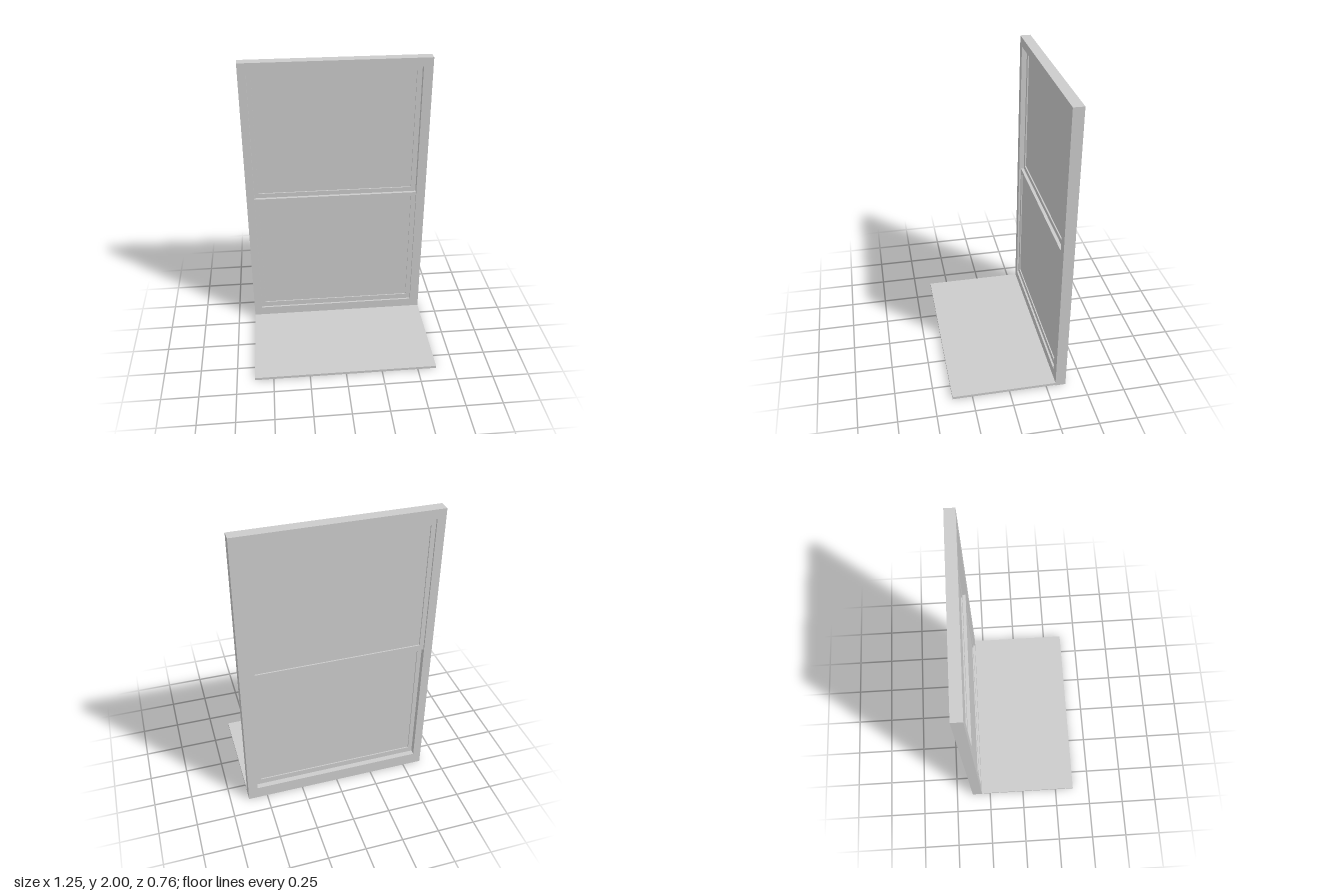
import * as THREE from 'three';

export function createModel() {
  const model = new THREE.Group();
  const grey = new THREE.MeshStandardMaterial({ color: 0xcccccc });
  grey.name = 'plain grey';

  function add(parent, name, geometry) {
    const mesh = new THREE.Mesh(geometry, grey);
    mesh.name = name;
    parent.add(mesh);
  }

  // box given by its lower and upper limits
  function box(x0, x1, y0, y1, z0, z1) {
    return new THREE.BoxGeometry(x1 - x0, y1 - y0, z1 - z0)
      .translate((x0 + x1) / 2, (y0 + y1) / 2, (z0 + z1) / 2);
  }

  function rectangle(path, [x0, x1, y0, y1]) {
    path.moveTo(x0, y0).lineTo(x1, y0).lineTo(x1, y1).lineTo(x0, y1).closePath();
    return path;
  }

  // rectangular ring extruded from z0 to z1
  function ring(outer, inner, z0, z1) {
    const shape = rectangle(new THREE.Shape(), outer);
    shape.holes.push(rectangle(new THREE.Path(), inner));
    return new THREE.ExtrudeGeometry(shape, { depth: z1 - z0, bevelEnabled: false }).translate(0, 0, z0);
  }

  // outer window frame
  const opening = [-0.573, 0.564, 0.087, 1.94];
  add(model, 'windowFrame', ring([-0.627, 0.627, 0, 2], opening, -0.382, -0.313));

  // two sliding sashes: the lower one sits in front of the upper one
  const sashes = [
    { name: 'lowerSash', y: [0.087, 1.018], pane: [0.127, 0.988], z: [-0.347, -0.326] },
    { name: 'upperSash', y: [1.012, 1.94], pane: [1.05, 1.902], z: [-0.371, -0.348] },
  ];
  for (const { name, y, pane, z } of sashes) {
    const sash = new THREE.Group();
    sash.name = name;
    const inner = [-0.544, 0.53, ...pane];
    const middle = (z[0] + z[1]) / 2;
    add(sash, 'sashFrame', ring([opening[0], opening[1], ...y], inner, z[0], z[1]));
    add(sash, 'pane', box(...inner, middle - 0.003, middle + 0.003));
    model.add(sash);
  }

  // flat plate reaching forward from the foot of the frame
  add(model, 'floorPlate', box(-0.627, 0.627, 0.004, 0.022, -0.313, 0.382));

  return model;
}
